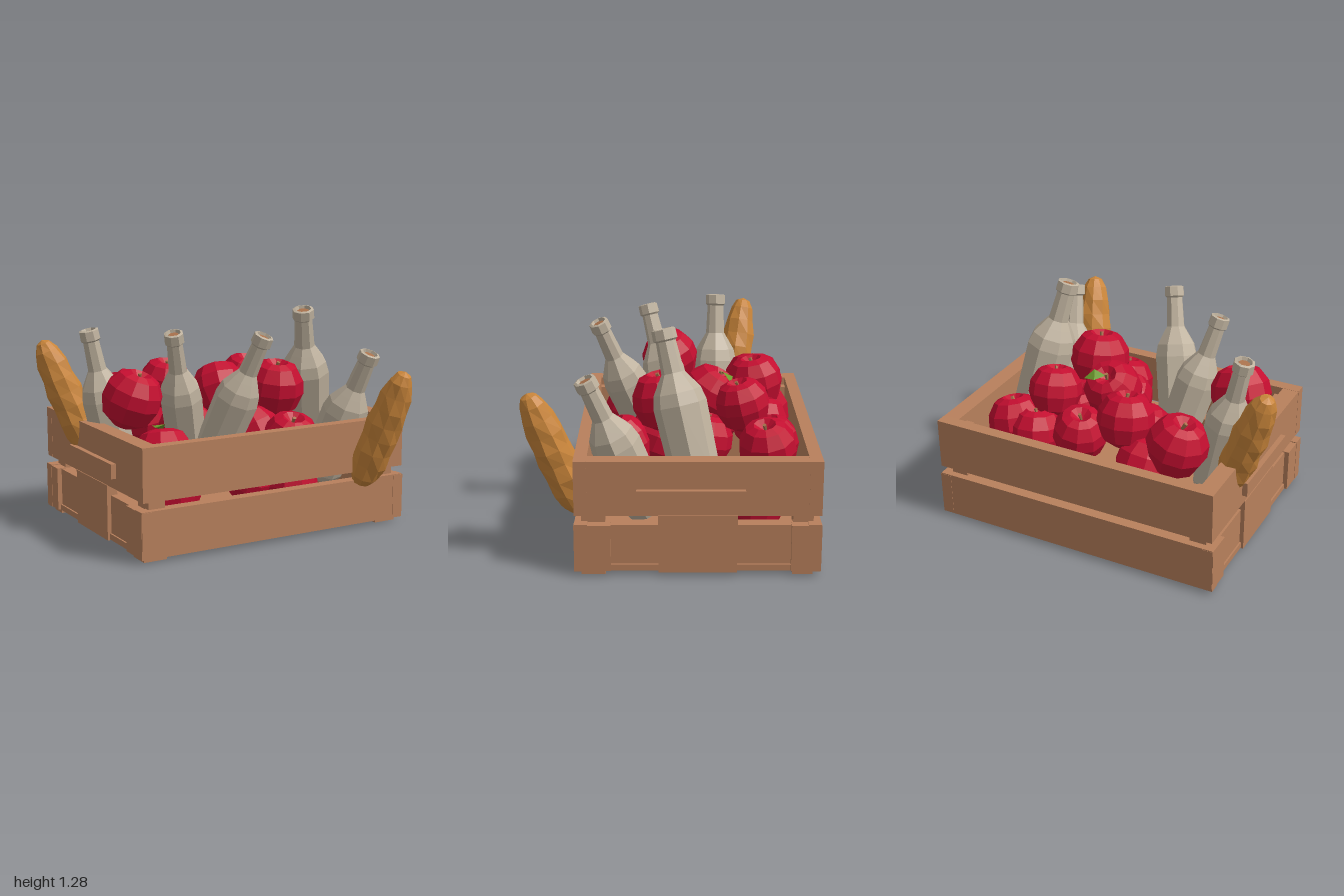
import * as THREE from 'three';

const material = (name, color, extra = {}) => {
  const m = new THREE.MeshStandardMaterial({ color, flatShading: true, ...extra });
  m.name = name;
  return m;
};
const UP = new THREE.Vector3(0, 1, 0);

export function createModel() {
  const root = new THREE.Group();
  root.name = 'foodCrate';
  const wood = material('wood', 0xb8805c);
  const glass = material('bottleGrey', 0xbfb29e);
  const red = material('appleRed', 0xc40e30);
  const crust = material('breadCrust', 0xc9853a);
  const green = material('leafGreen', 0x6c9a2c, { side: THREE.DoubleSide });
  const cork = material('corkBrown', 0xa8714c);

  const add = (parent, name, geometry, mat) => {
    const mesh = new THREE.Mesh(geometry, mat);
    mesh.name = name;
    parent.add(mesh);
    return mesh;
  };
  // Box given by its limits on each axis
  const plank = (name, x0, x1, y0, y1, z0, z1) => {
    const mesh = add(crate, name, new THREE.BoxGeometry(x1 - x0, y1 - y0, z1 - z0), wood);
    mesh.position.set((x0 + x1) / 2, (y0 + y1) / 2, (z0 + z1) / 2);
    return mesh;
  };
  const lathe = (pts, sides) =>
    new THREE.LatheGeometry(pts.map(([r, y]) => new THREE.Vector2(r, y)), sides);

  // Crate: floor, boards, posts, feet
  const crate = new THREE.Group();
  crate.name = 'crate';
  root.add(crate);
  const X0 = -0.77, X1 = 0.97, Z0 = -0.82, Z1 = 0.505;
  plank('floor', X0 + 0.01, X1 - 0.01, 0.025, 0.06, Z0 + 0.01, Z1 - 0.01);
  for (const [z0, z1] of [[Z0, Z0 + 0.07], [Z1 - 0.07, Z1]]) {
    plank('longLowerBoard', X0 - 0.01, X1 + 0.005, 0.025, 0.295, z0, z1);
    plank('longUpperBoard', X0, X1, 0.345, 0.65, z0, z1);
  }
  for (const side of [-1, 1]) {
    const outer = side < 0 ? X0 : X1;
    // Spans inward depths a..b from the outer face
    const end = (name, a, b, y0, y1, z0, z1) => {
      const p = outer - side * a, q = outer - side * b;
      return plank(name, Math.min(p, q), Math.max(p, q), y0, y1, z0, z1);
    };
    end('endUpperBoard', 0.001, 0.1, 0.345, 0.649, Z0 + 0.002, Z1 - 0.002);
    end('endLowerBoard', 0.02, 0.1, 0.03, 0.285, Z0 + 0.01, Z1 - 0.01);
    end('endCentrePlate', -0.004, 0.06, 0.02, 0.346, -0.37, 0.055);
    end('endHandle', -0.03, 0.02, 0.41, 0.495, -0.41, 0.17);
    for (const [z0, z1] of [[Z0 - 0.002, -0.66], [0.31, Z1 + 0.003]])
      end('endCornerPlate', -0.008, 0.06, 0.028, 0.29, z0, z1);
    for (const [z0, z1] of [[-0.78, -0.67], [0.34, 0.47]]) {
      end('foot', 0.02, 0.16, 0, 0.03, z0, z1);
      end('cornerPost', 0.05, 0.15, 0.05, 0.6, z0, z1);
    }
  }

  // Apples: dimpled lathe, stem, and a leaf on some
  const appleShape = lathe([[0, -0.75], [0.35, -0.92], [0.8, -0.62], [1, -0.05], [0.95, 0.4],
    [0.68, 0.82], [0.38, 0.94], [0.14, 0.76], [0, 0.68]], 10);
  const stemShape = new THREE.CylinderGeometry(0.07, 0.05, 0.3, 5);
  const leafShape = new THREE.BufferGeometry().setFromPoints([
    [0, 0.9, 0], [0.35, 1.06, 0.22], [0.35, 1.06, -0.22], [0.75, 0.95, 0]
  ].map(p => new THREE.Vector3(...p)));
  leafShape.setIndex([0, 1, 2, 1, 3, 2]);
  leafShape.computeVertexNormals();
  // x, y, z, radius, leaf angle
  const apples = [
    [-0.42, 0.70, -0.53, 0.178], [-0.10, 0.78, -0.52, 0.165], [0.13, 0.77, -0.23, 0.172, 0.4],
    [0.41, 0.79, -0.42, 0.155], [0.60, 0.60, -0.55, 0.165], [0.19, 0.62, -0.53, 0.16],
    [-0.24, 0.56, -0.58, 0.165, 0.9], [-0.09, 0.55, -0.25, 0.17], [0.38, 0.57, -0.20, 0.165],
    [-0.58, 0.81, -0.01, 0.175], [-0.49, 0.50, 0.22, 0.18, 4.0], [0.32, 0.52, 0.27, 0.175],
    [0.36, 0.80, 0.03, 0.178], [0.20, 0.55, 0.07, 0.16], [0.45, 0.58, -0.58, 0.16],
    [-0.45, 0.32, 0.24, 0.17], [0.32, 0.27, 0.27, 0.17], [0.05, 0.3, 0.25, 0.13], [0.6, 0.3, -0.5, 0.17]
  ];
  apples.forEach(([x, y, z, r, leaf], i) => {
    const apple = new THREE.Group();
    apple.name = 'apple';
    apple.position.set(x, y, z);
    apple.rotation.set(0.28 * Math.sin(i * 2.3), i * 0.7, 0.28 * Math.cos(i * 1.7));
    apple.scale.setScalar(r);
    add(apple, 'appleBody', appleShape, red);
    const stem = add(apple, 'appleStem', stemShape, cork);
    stem.position.y = 0.8;
    stem.rotation.z = 0.3;
    if (leaf !== undefined) {
      const leafMesh = add(apple, 'appleLeaf', leafShape, green);
      leafMesh.rotation.y = leaf - i * 0.7;
    }
    root.add(apple);
  });

  // Bottles: origin at the mouth, leaning along a downward direction
  const bottleShape = lathe([[0, -0.86], [0.11, -0.86], [0.125, -0.82], [0.135, -0.42],
    [0.12, -0.35], [0.085, -0.29], [0.058, -0.245], [0.05, -0.07], [0.062, -0.06],
    [0.06, -0.005], [0.045, 0], [0.036, -0.025], [0, -0.025]], 8);
  const corkShape = new THREE.CylinderGeometry(0.034, 0.034, 0.02, 8);
  const bottles = [ // mouth, downward lean, girth
    [[-0.71, 1.19, -0.30], [0.21, -1, 0.01], 1],
    [[-0.38, 1.20, 0.13], [0.25, -1, -0.25], 0.95],
    [[0.05, 1.19, 0.41], [-0.24, -1, -0.4], 0.97],
    [[0.56, 1.27, 0.03], [0.21, -1, -0.23], 1.1],
    [[0.76, 1.04, 0.45], [-0.16, -1, -0.42], 1.05]
  ];
  for (const [mouth, down, girth] of bottles) {
    const bottle = new THREE.Group();
    bottle.name = 'bottle';
    bottle.position.set(...mouth);
    bottle.quaternion.setFromUnitVectors(UP, new THREE.Vector3(...down).normalize().negate());
    bottle.scale.set(girth, 1, girth);
    add(bottle, 'bottleBody', bottleShape, glass);
    add(bottle, 'cork', corkShape, cork).position.y = -0.025;
    root.add(bottle);
  }

  // Loaves: tapered roll with slanted scores pressed into the crust
  const loaf = (a, b, radius) => {
    const from = new THREE.Vector3(...a), to = new THREE.Vector3(...b);
    const axis = to.clone().sub(from), length = axis.length();
    const profile = [[0, 0], [0.5, 0.025], [0.8, 0.09], [0.94, 0.2], [1, 0.32], [0.98, 0.44],
      [1, 0.56], [0.94, 0.68], [0.84, 0.8], [0.66, 0.91], [0.4, 0.975], [0, 1]];
    const geometry = lathe(profile.map(([r, t]) => [r * radius, (t - 0.5) * length]), 9);
    const p = geometry.attributes.position;
    for (let i = 0; i < p.count; i++) {
      const x = p.getX(i), y = p.getY(i), z = p.getZ(i);
      const k = 1 + 0.06 * Math.sin((y / length) * 22 + 2 * Math.atan2(z, x));
      p.setXYZ(i, x * k, y, z * k);
    }
    const mesh = add(root, 'breadLoaf', geometry, crust);
    mesh.position.copy(from).add(to).multiplyScalar(0.5);
    mesh.quaternion.setFromUnitVectors(UP, axis.normalize());
  };
  loaf([0.675, 0.26, 0.49], [0.785, 0.97, 0.755], 0.108);
  loaf([-0.66, 0.42, -0.39], [-0.925, 1.12, -0.49], 0.105);

  return root;
}
